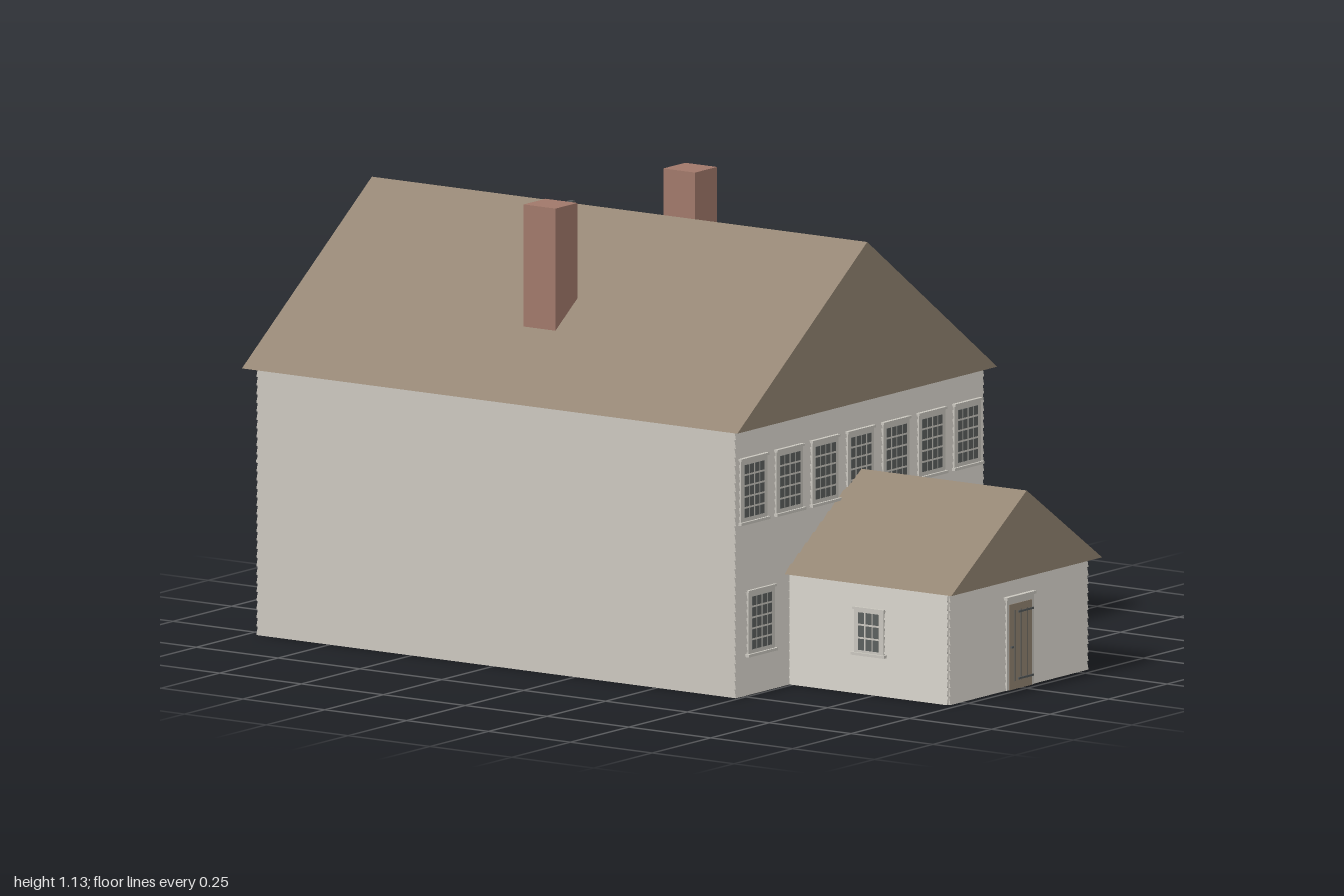
import * as THREE from 'three';
import { mergeGeometries } from 'three/addons/utils/BufferGeometryUtils.js';

const mat = (name, color, side = THREE.FrontSide) => {
  const m = new THREE.MeshStandardMaterial({ color, side });
  m.name = name;
  return m;
};

export function createModel() {
  const model = new THREE.Group();
  model.name = 'house';
  const wallMat = mat('wall', 0xcbc7bf, THREE.DoubleSide);
  const trimMat = mat('trim', 0xc9c6be);
  const roofMat = mat('roof', 0x938472);
  const brickMat = mat('brick', 0xa0786a);
  const glassMat = mat('glass', 0x5b5f5e);
  const ironMat = mat('iron', 0x545859);

  const add = (parent, name, geo, material) => {
    const m = new THREE.Mesh(geo, material);
    m.name = name;
    parent.add(m);
    return m;
  };
  const boxGeo = (w, h, d, x, y, z) => new THREE.BoxGeometry(w, h, d).translate(x, y, z);
  const box = (parent, name, material, ...dims) => add(parent, name, boxGeo(...dims), material);

  // Four walls and a ceiling, open underneath
  const shell = (name, w, h, z0, z1) => {
    const d = z1 - z0;
    const parts = [
      new THREE.PlaneGeometry(w, h).translate(0, h / 2, d / 2),
      new THREE.PlaneGeometry(w, h).rotateY(Math.PI).translate(0, h / 2, -d / 2),
      new THREE.PlaneGeometry(d, h).rotateY(Math.PI / 2).translate(w / 2, h / 2, 0),
      new THREE.PlaneGeometry(d, h).rotateY(-Math.PI / 2).translate(-w / 2, h / 2, 0),
      new THREE.PlaneGeometry(w, d).rotateX(Math.PI / 2).translate(0, h, 0),
    ];
    add(model, name, mergeGeometries(parts), wallMat).position.z = (z0 + z1) / 2;
  };

  // Solid gabled prism
  const gable = (name, half, y0, y1, z0, z1) => {
    const s = new THREE.Shape();
    s.moveTo(-half, y0);
    s.lineTo(half, y0);
    s.lineTo(0, y1);
    s.closePath();
    const geo = new THREE.ExtrudeGeometry(s, { depth: z1 - z0, bevelEnabled: false });
    add(model, name, geo.translate(0, 0, z0), roofMat);
  };

  // Overlapping boards: a sawtooth profile run along the wall
  const siding = (parent, w, h) => {
    const n = Math.round(h / 0.0215), step = h / n;
    const s = new THREE.Shape();
    s.moveTo(0, 0);
    for (let i = 0; i < n; i++) {
      s.lineTo(0.006, i * step);
      s.lineTo(0.0015, (i + 1) * step);
    }
    s.lineTo(0, h);
    s.closePath();
    const geo = new THREE.ExtrudeGeometry(s, { depth: w, bevelEnabled: false });
    add(parent, 'siding', geo.rotateY(-Math.PI / 2).translate(w / 2, 0, 0), wallMat);
  };

  // A facade works in its own frame, with +z pointing out of the wall
  const facade = (name, x, z, turn, w, h) => {
    const g = new THREE.Group();
    g.name = name;
    g.position.set(x, 0, z);
    g.rotation.y = turn;
    model.add(g);
    siding(g, w, h);
    return g;
  };

  // Sash window: casing, sill, head and a grid of panes
  const makeWindow = (w, h, paneW, paneH, cols, rows) => {
    const g = new THREE.Group();
    g.name = 'window';
    box(g, 'casing', trimMat, w, h, 0.009, 0, h / 2, 0.0045);
    box(g, 'sill', trimMat, w + 0.012, 0.007, 0.015, 0, 0.0035, 0.0075);
    box(g, 'head', trimMat, w + 0.006, 0.006, 0.013, 0, h - 0.003, 0.0065);
    const panes = [], pw = paneW / cols, ph = paneH / rows;
    for (let i = 0; i < cols; i++) for (let j = 0; j < rows; j++) {
      panes.push(boxGeo(pw - 0.005, ph - 0.005, 0.002,
        (i + 0.5) * pw - paneW / 2, (h - paneH) / 2 + (j + 0.5) * ph, 0.0095));
    }
    add(g, 'panes', mergeGeometries(panes), glassMat);
    return g;
  };
  const largeWindow = makeWindow(0.112, 0.168, 0.09, 0.138, 4, 5);
  const smallWindow = makeWindow(0.09, 0.122, 0.066, 0.1, 3, 3);
  const placeWindows = (parent, proto, y, xs) => xs.forEach((x) => {
    const win = proto.clone();
    win.position.set(x, y, 0);
    parent.add(win);
  });

  // Main block and porch
  shell('mainWalls', 1.06, 0.674, -0.968, 0.485);
  shell('porchWalls', 0.59, 0.281, 0.485, 0.972);
  gable('mainRoof', 0.555, 0.675, 1.075, -1, 0.513);
  gable('porchRoof', 0.322, 0.282, 0.5, 0.48, 1);

  const front = facade('frontFacade', 0, 0.485, 0, 1.06, 0.674);
  const back = facade('backFacade', 0, -0.968, Math.PI, 1.06, 0.674);
  const porchFront = facade('porchFront', 0, 0.972, 0, 0.59, 0.281);
  const upper = [-3, -2, -1, 0, 1, 2, 3].map((i) => i * 0.152);
  placeWindows(front, largeWindow, 0.434, upper);
  placeWindows(back, largeWindow, 0.434, upper);
  placeWindows(front, largeWindow, 0.097, [-0.424, 0.424]);
  placeWindows(back, largeWindow, 0.097, [-0.424, -0.22, 0.22, 0.424]);
  for (const s of [-1, 1]) {
    const side = facade(s > 0 ? 'porchLeftSide' : 'porchRightSide',
      s * 0.295, 0.7285, s * Math.PI / 2, 0.487, 0.281);
    placeWindows(side, smallWindow, 0.098, [-s * 0.006]);
  }

  // Plank door of the porch with strap hinges and a latch
  const plankDoor = new THREE.Group();
  plankDoor.name = 'plankDoor';
  porchFront.add(plankDoor);
  box(plankDoor, 'doorFrame', trimMat, 0.114, 0.232, 0.009, 0, 0.116, 0.0045);
  box(plankDoor, 'doorHead', trimMat, 0.124, 0.007, 0.014, 0, 0.2325, 0.007);
  box(plankDoor, 'doorLeaf', roofMat, 0.096, 0.216, 0.002, 0, 0.108, 0.0095);
  for (const x of [-0.026, 0, 0.026]) {
    box(plankDoor, 'plankGap', ironMat, 0.002, 0.18, 0.001, x, 0.11, 0.0108);
  }
  for (const y of [0.025, 0.194]) {
    box(plankDoor, 'strapHinge', ironMat, 0.064, 0.005, 0.003, 0.02, y, 0.0115);
  }
  box(plankDoor, 'latch', ironMat, 0.008, 0.005, 0.005, -0.04, 0.108, 0.012);

  // Red back door with a row of transom panes
  const backDoor = new THREE.Group();
  backDoor.name = 'backDoor';
  back.add(backDoor);
  box(backDoor, 'doorFrame', trimMat, 0.138, 0.25, 0.009, 0, 0.125, 0.0045);
  box(backDoor, 'doorHead', trimMat, 0.15, 0.007, 0.014, 0, 0.2495, 0.007);
  box(backDoor, 'doorLeaf', brickMat, 0.116, 0.208, 0.002, 0, 0.104, 0.0095);
  for (let i = 0; i < 5; i++) {
    box(backDoor, 'transomPane', glassMat, 0.019, 0.018, 0.002, (i - 2) * 0.023, 0.228, 0.0095);
  }

  // Chimneys and vent pipes, rising out of the roof
  for (const s of [-1, 1]) {
    box(model, 'chimney', brickMat, 0.094, 0.335, 0.097, s * 0.298, 0.9675, -0.241);
  }
  for (const [x, z, top] of [[-0.212, -0.296, 1.053], [0.21, 0.162, 1.02], [0.21, -0.542, 1.032]]) {
    box(model, 'ventPipe', ironMat, 0.016, top - 0.9, 0.014, x, (top + 0.9) / 2, z);
  }
  return model;
}
